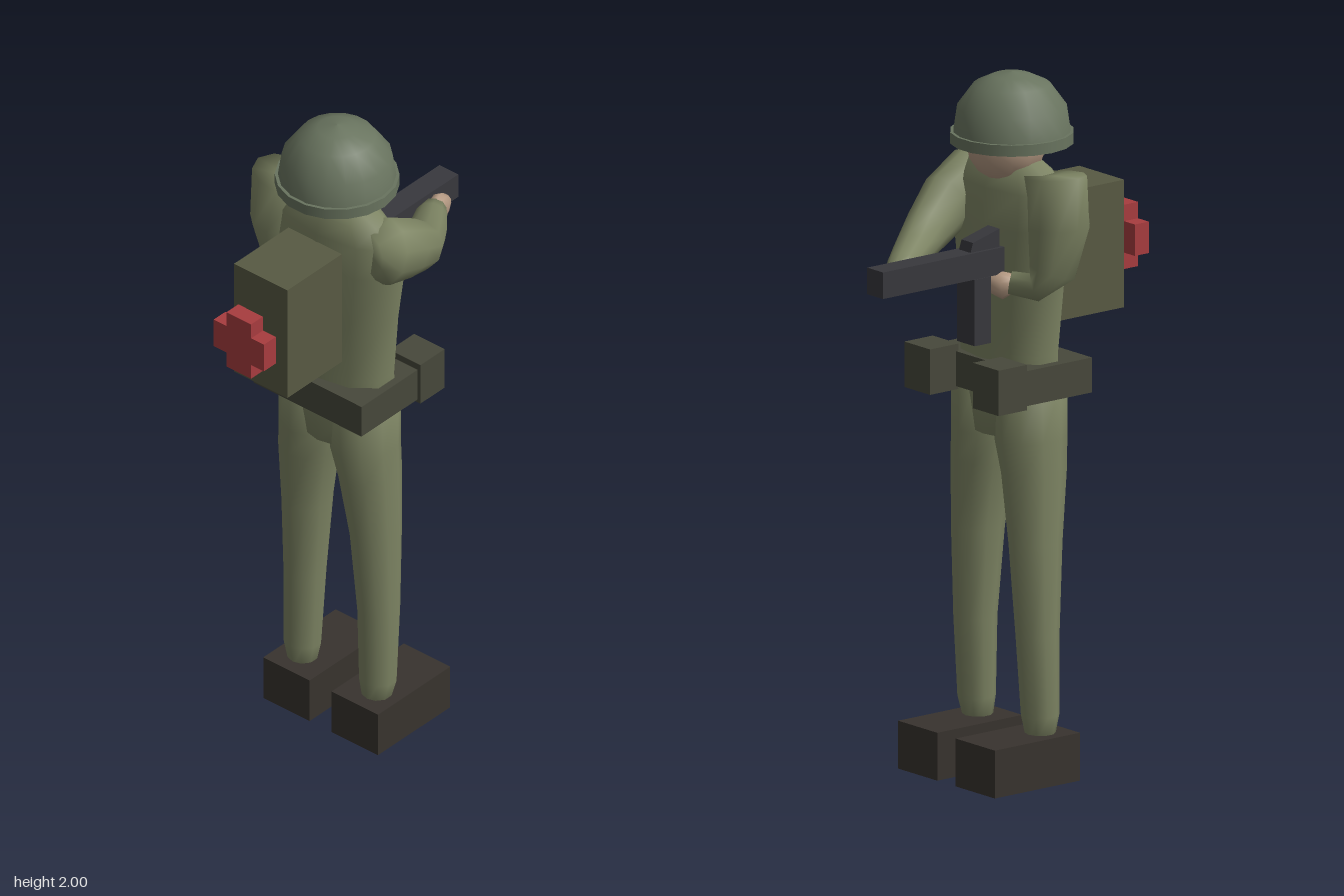
import * as THREE from 'three';

const SIDES = 10;
const MID_Z = 0.01; // symmetry plane of the body, which faces +x

const paint = (color) => new THREE.MeshStandardMaterial({ color });
const cloth = paint(0x7d8463), helmetGreen = paint(0x69745f), packGreen = paint(0x585a43);
const webbing = paint(0x47483b), leather = paint(0x38332e), metal = paint(0x38383d);
const red = paint(0xa83c3f), skin = paint(0xb59a83);

function addMesh(parent, name, geometry, material) {
  const mesh = new THREE.Mesh(geometry, material);
  mesh.name = name;
  parent.add(mesh);
  return mesh;
}

// Box given by its extents on each axis
function addBox(parent, name, [x0, x1], [y0, y1], [z0, z1], material) {
  const geometry = new THREE.BoxGeometry(x1 - x0, y1 - y0, z1 - z0);
  geometry.translate((x0 + x1) / 2, (y0 + y1) / 2, (z0 + z1) / 2);
  return addMesh(parent, name, geometry, material);
}

// Smooth closed tube through elliptical sections [x, y, z, radiusU, radiusV]
function loft(sections, ref = new THREE.Vector3(0, 0, 1)) {
  const centres = sections.map(([x, y, z]) => new THREE.Vector3(x, y, z));
  const positions = [], index = [];
  const last = sections.length - 1;
  centres.forEach((c, r) => {
    const t = centres[Math.min(r + 1, last)].clone().sub(centres[Math.max(r - 1, 0)]).normalize();
    const u = ref.clone().cross(t).normalize();
    const v = t.clone().cross(u);
    for (let i = 0; i < SIDES; i++) {
      const a = (i / SIDES) * Math.PI * 2;
      const p = c.clone().addScaledVector(u, Math.cos(a) * sections[r][3])
        .addScaledVector(v, Math.sin(a) * sections[r][4]);
      positions.push(p.x, p.y, p.z);
    }
  });
  const start = positions.length / 3;
  positions.push(...centres[0].toArray(), ...centres[last].toArray());
  for (let i = 0; i < SIDES; i++) {
    const j = (i + 1) % SIDES;
    for (let r = 0; r < last; r++) {
      const a = r * SIDES + i, b = r * SIDES + j;
      index.push(a, b, b + SIDES, a, b + SIDES, a + SIDES);
    }
    index.push(start, j, i, start + 1, last * SIDES + i, last * SIDES + j);
  }
  const geometry = new THREE.BufferGeometry();
  geometry.setAttribute('position', new THREE.Float32BufferAttribute(positions, 3));
  geometry.setIndex(index);
  geometry.computeVertexNormals();
  return geometry;
}

export function createModel() {
  const model = new THREE.Group();
  model.name = 'soldier';

  // Legs, boots and belt pouches on both sides
  for (const s of [1, -1]) {
    const side = s > 0 ? 'right' : 'left';
    const z = (d) => MID_Z + s * d;
    const span = (a, b) => [z(a), z(b)].sort((p, q) => p - q);
    addMesh(model, side + 'Leg', loft([
      [-0.055, 0.12, z(0.135), 0.04, 0.04],
      [-0.052, 0.19, z(0.138), 0.052, 0.056],
      [-0.045, 0.42, z(0.135), 0.062, 0.06],
      [-0.046, 0.68, z(0.125), 0.078, 0.07],
      [-0.053, 0.88, z(0.11), 0.095, 0.085],
      [-0.055, 0.97, z(0.095), 0.103, 0.097],
      [-0.055, 1.14, z(0.09), 0.108, 0.1],
    ]), cloth);
    addBox(model, side + 'Boot', [-0.135, 0.17], [0, 0.137], span(0.04, 0.21), leather);
    addBox(model, side + 'Pouch', [0.05, 0.152], [1.09, 1.22], span(0.093, 0.205), webbing);
  }

  // Torso and belt
  addMesh(model, 'torso', loft([
    [-0.055, 0.98, MID_Z, 0.095, 0.15],
    [-0.055, 1.1, MID_Z, 0.107, 0.185],
    [-0.055, 1.22, MID_Z, 0.107, 0.18],
    [-0.06, 1.42, MID_Z, 0.11, 0.2],
    [-0.06, 1.58, MID_Z, 0.105, 0.225],
    [-0.06, 1.68, MID_Z, 0.095, 0.22],
    [-0.065, 1.735, MID_Z, 0.075, 0.17],
    [-0.065, 1.77, MID_Z, 0.05, 0.07],
  ]), cloth);
  addBox(model, 'belt', [-0.187, 0.06], [1.1, 1.2], [-0.19, 0.205], webbing);

  // Arm reaching out to support the barrel
  addMesh(model, 'rightArm', loft([
    [-0.11, 1.66, 0.17, 0.06, 0.06],
    [-0.07, 1.655, 0.18, 0.1, 0.09],
    [0.03, 1.61, 0.175, 0.088, 0.078],
    [0.13, 1.55, 0.145, 0.07, 0.065],
    [0.23, 1.52, 0.085, 0.052, 0.055],
    [0.31, 1.505, 0.03, 0.037, 0.045],
    [0.35, 1.495, 0.005, 0.03, 0.035],
  ]), cloth);
  addMesh(model, 'rightHand', loft([
    [0.33, 1.5, 0.02, 0.025, 0.025],
    [0.365, 1.482, 0, 0.047, 0.028],
    [0.395, 1.477, -0.005, 0.04, 0.024],
    [0.42, 1.48, -0.01, 0.02, 0.015],
  ]), skin);

  // Bent arm holding the grip
  const xAxis = new THREE.Vector3(1, 0, 0);
  addMesh(model, 'leftArm', loft([
    [-0.06, 1.74, -0.185, 0.1, 0.08],
    [-0.06, 1.6, -0.2, 0.08, 0.095],
    [-0.05, 1.47, -0.185, 0.055, 0.08],
    [-0.01, 1.425, -0.155, 0.042, 0.055],
    [0.035, 1.435, -0.105, 0.033, 0.035],
  ], xAxis), cloth);
  addMesh(model, 'leftHand', loft([
    [0.025, 1.435, -0.11, 0.025, 0.025],
    [0.05, 1.425, -0.085, 0.04, 0.03],
    [0.075, 1.43, -0.06, 0.025, 0.02],
  ], xAxis), skin);

  // Head
  const head = addMesh(model, 'head', new THREE.SphereGeometry(1, 12, 8), skin);
  head.scale.set(0.115, 0.115, 0.11);
  head.position.set(-0.04, 1.805, 0.003);

  // Helmet dome with a shallow rim
  const helmet = new THREE.Group();
  helmet.name = 'helmet';
  helmet.position.set(-0.063, 0, 0.008);
  model.add(helmet);
  const profile = (points) => points.map(([r, y]) => new THREE.Vector2(r, y));
  addMesh(helmet, 'helmetDome', new THREE.LatheGeometry(
    profile([[0.165, 1.825], [0.154, 1.9], [0.107, 1.965], [0.055, 1.99], [0, 2]]), 18), helmetGreen);
  addMesh(helmet, 'helmetRim', new THREE.CylinderGeometry(0.173, 0.173, 0.032, 18)
    .translate(0, 1.816, 0), helmetGreen);

  // Backpack
  addBox(model, 'backpack', [-0.385, -0.155], [1.29, 1.655], [-0.09, 0.105], packGreen);

  // Plus-shaped plate behind the backpack, drawn as one quarter turned four times
  const plus = new THREE.Shape();
  const half = 0.092, arm = 0.045;
  for (let q = 0; q < 4; q++) {
    const c = Math.round(Math.cos(q * Math.PI / 2)), s = Math.round(Math.sin(q * Math.PI / 2));
    for (const [x, y] of [[half, -arm], [half, arm], [arm, arm]]) {
      const px = c * x - s * y, py = s * x + c * y;
      if (plus.curves.length === 0 && plus.currentPoint.lengthSq() === 0) plus.moveTo(px, py);
      else plus.lineTo(px, py);
    }
  }
  const plate = addMesh(model, 'plusPlate',
    new THREE.ExtrudeGeometry(plus, { depth: 0.05, bevelEnabled: false }), red);
  plate.rotation.y = Math.PI / 2;
  plate.position.set(-0.478, 1.473, 0.008);

  // Gun: body with barrel, magazine and wedge sight
  const gun = new THREE.Group();
  gun.name = 'gun';
  model.add(gun);
  addBox(gun, 'gunBody', [0.04, 0.475], [1.457, 1.533], [-0.084, -0.015], metal);
  addBox(gun, 'magazine', [0.09, 0.148], [1.267, 1.457], [-0.086, -0.01], metal);
  const wedge = new THREE.Shape(profile([[0.05, 1.53], [0.155, 1.53], [0.145, 1.56], [0.05, 1.585]]));
  addMesh(gun, 'sight', new THREE.ExtrudeGeometry(wedge, { depth: 0.05, bevelEnabled: false })
    .translate(0, 0, -0.075), metal);

  return model;
}
